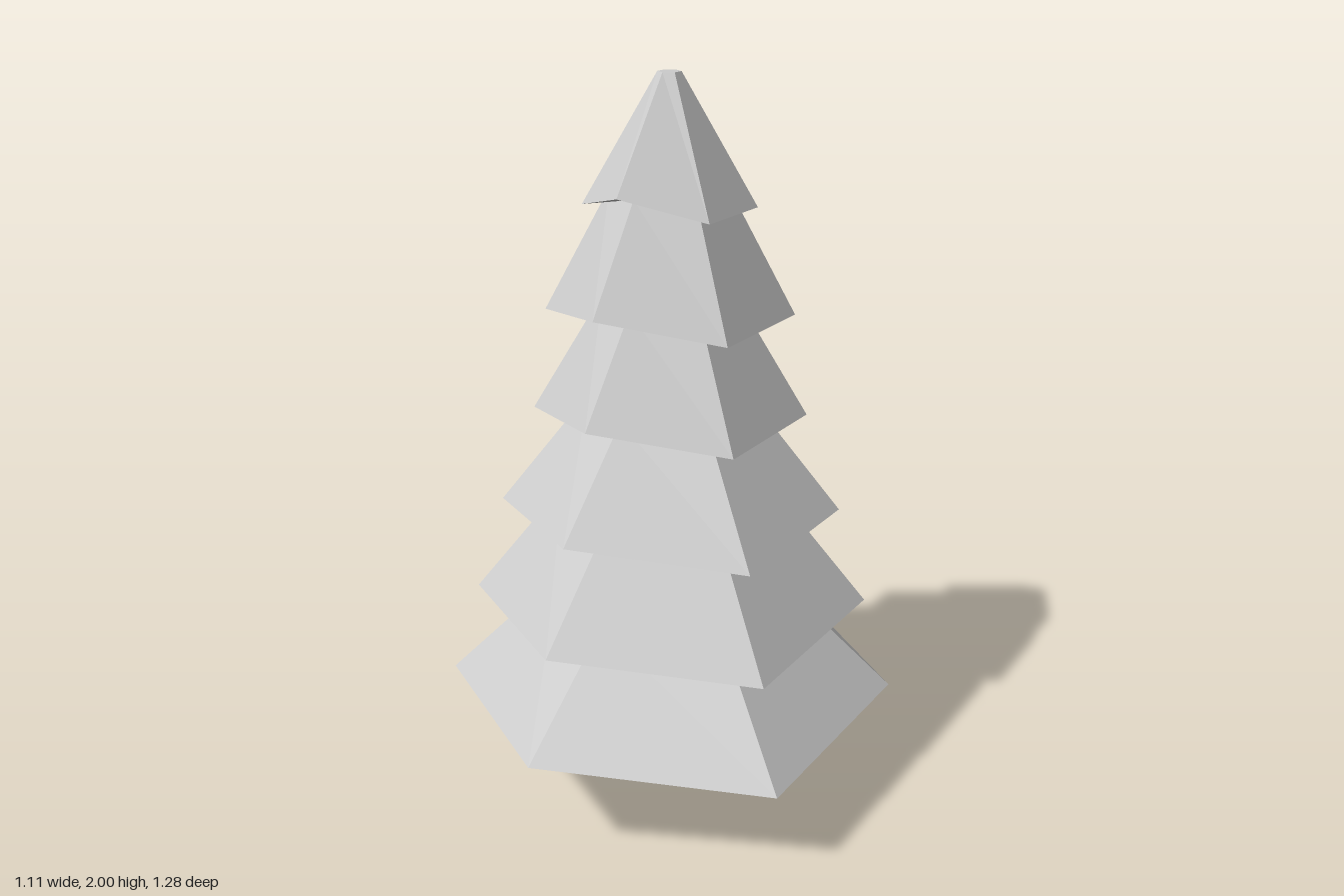
import * as THREE from 'three';

const SIDES = 6;
const LIFT = 0.057; // how much higher the front and back rim corners sit

// Rings as [radius, height]: underside ring, drooping rim, upper ring of each tier
const TIERS = [
  { under: [0.35, 0.315], rim: [0.641, 0.269], top: [0.322, 0.59] },
  { under: [0.322, 0.59], rim: [0.555, 0.547], top: [0.3, 0.87] },
  { under: [0.3, 0.87], rim: [0.47, 0.828], top: [0.222, 1.147] },
  { under: [0.222, 1.147], rim: [0.37, 1.107], top: [0.177, 1.43] },
  { under: [0.177, 1.43], rim: [0.329, 1.386], top: [0.154, 1.71] },
  { under: [0.154, 1.71], rim: [0.225, 1.667], top: [0.03, 2.0] },
];

export function createModel() {
  const group = new THREE.Group();
  const material = new THREE.MeshStandardMaterial({ color: 0xcccccc, flatShading: true });

  function add(name, geometry) {
    const mesh = new THREE.Mesh(geometry, material);
    mesh.name = name;
    group.add(mesh);
    return mesh;
  }

  // Tapered trunk, slightly narrower in x than in z
  const trunk = add('trunk', new THREE.CylinderGeometry(0.098, 0.137, 0.32, SIDES));
  trunk.position.y = 0.16;
  trunk.scale.x = 0.82;

  // Six-sided skirts of foliage
  TIERS.forEach(({ under, rim, top }, i) => {
    const profile = [[0, under[1]], under, rim, top];
    if (i === TIERS.length - 1) profile.push([0, top[1]]);
    const points = profile.map(([r, y]) => new THREE.Vector2(r, y));
    const geometry = new THREE.LatheGeometry(points, SIDES);

    // Raise the rim corners that lie on the z axis
    const pos = geometry.attributes.position;
    for (let s = 0; s <= SIDES; s += SIDES / 2) {
      const v = s * points.length + 2;
      pos.setY(v, pos.getY(v) + LIFT);
    }
    geometry.computeVertexNormals();
    add(`foliageTier${i + 1}`, geometry);
  });

  return group;
}
